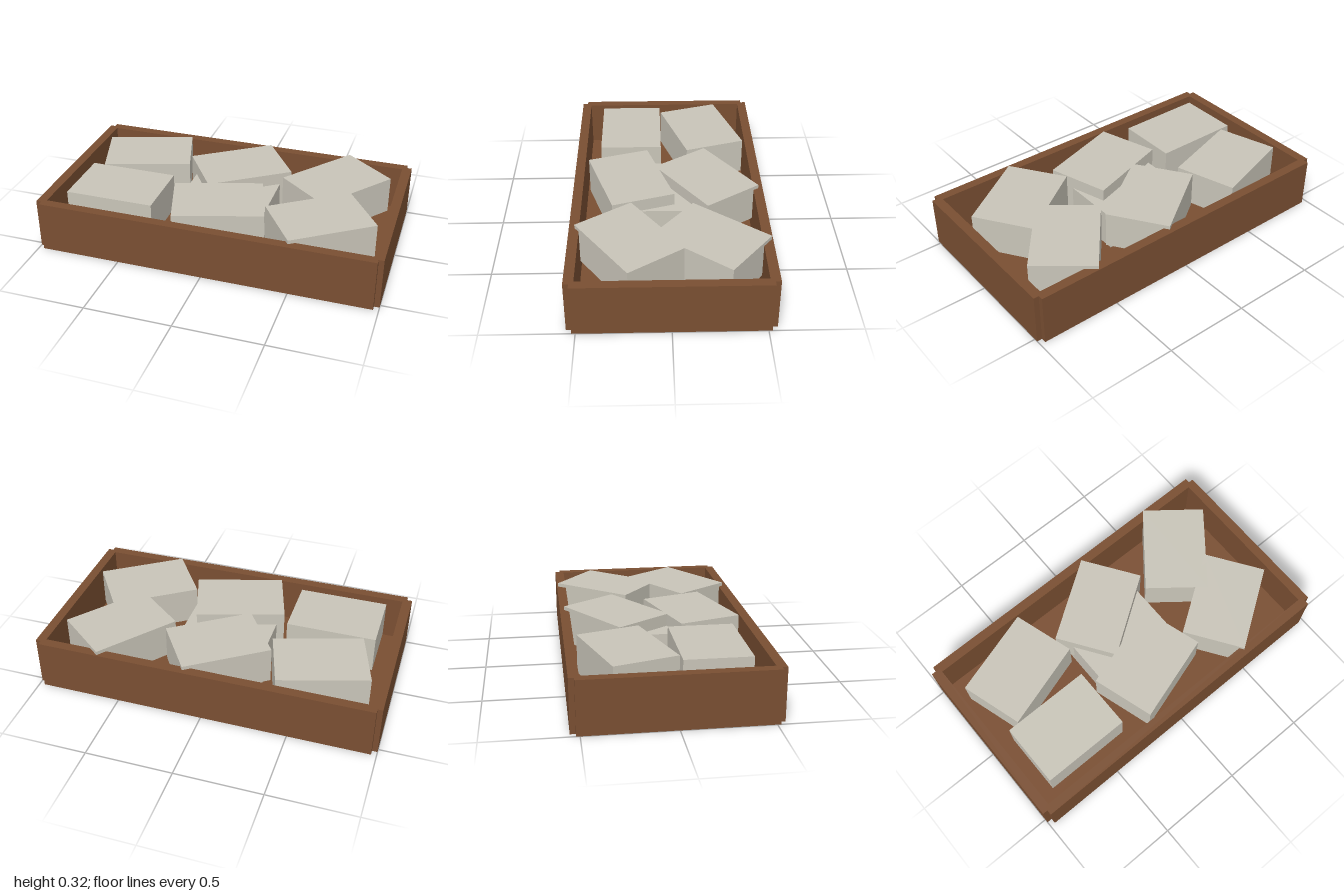
import * as THREE from 'three';

export function createModel() {
  const group = new THREE.Group();
  const wood = new THREE.MeshStandardMaterial({ color: 0x7a4f32 });
  wood.name = 'brown wood';
  const stone = new THREE.MeshStandardMaterial({ color: 0xc9c5b9 });
  stone.name = 'pale stone';

  // Adds a box by size and centre, turned about the vertical axis
  function addBox(name, material, [w, h, d], [x, y, z], turn = 0) {
    const mesh = new THREE.Mesh(new THREE.BoxGeometry(w, h, d), material);
    mesh.name = name;
    mesh.position.set(x, y, z);
    mesh.rotation.y = turn;
    group.add(mesh);
  }

  // Tray: floor and four walls, leaving small notches at the corners
  const height = 0.3, wall = 0.055;
  addBox('trayFloor', wood, [1.94, 0.03, 1.04], [0, 0.015, 0]);
  for (const side of [-1, 1]) {
    addBox(side > 0 ? 'frontWall' : 'backWall', wood,
      [1.94, height, wall], [0, height / 2, side * (0.55 - wall / 2)]);
    addBox(side > 0 ? 'leftWall' : 'rightWall', wood,
      [wall, height, 1.04], [side * (1 - wall / 2), height / 2, 0]);
  }

  // Loose stone blocks: x, z, turn and height of the top face
  const blockHeight = 0.22;
  const blocks = [
    [-0.6, -0.225, 0.3, 0.322],
    [0, -0.225, 0.6, 0.322],
    [0.595, -0.225, 0.9, 0.322],
    [-0.6, 0.22, 0, 0.322],
    [0, 0.22, 0.3, 0.322],
    [0.595, 0.22, 0.6, 0.322],
    [0, 0, 0, 0.25], // lower block in the middle
  ];
  blocks.forEach(([x, z, turn, top], i) => {
    addBox(`stoneBlock${i + 1}`, stone, [0.52, blockHeight, 0.37],
      [x, top - blockHeight / 2, z], turn);
  });

  return group;
}
